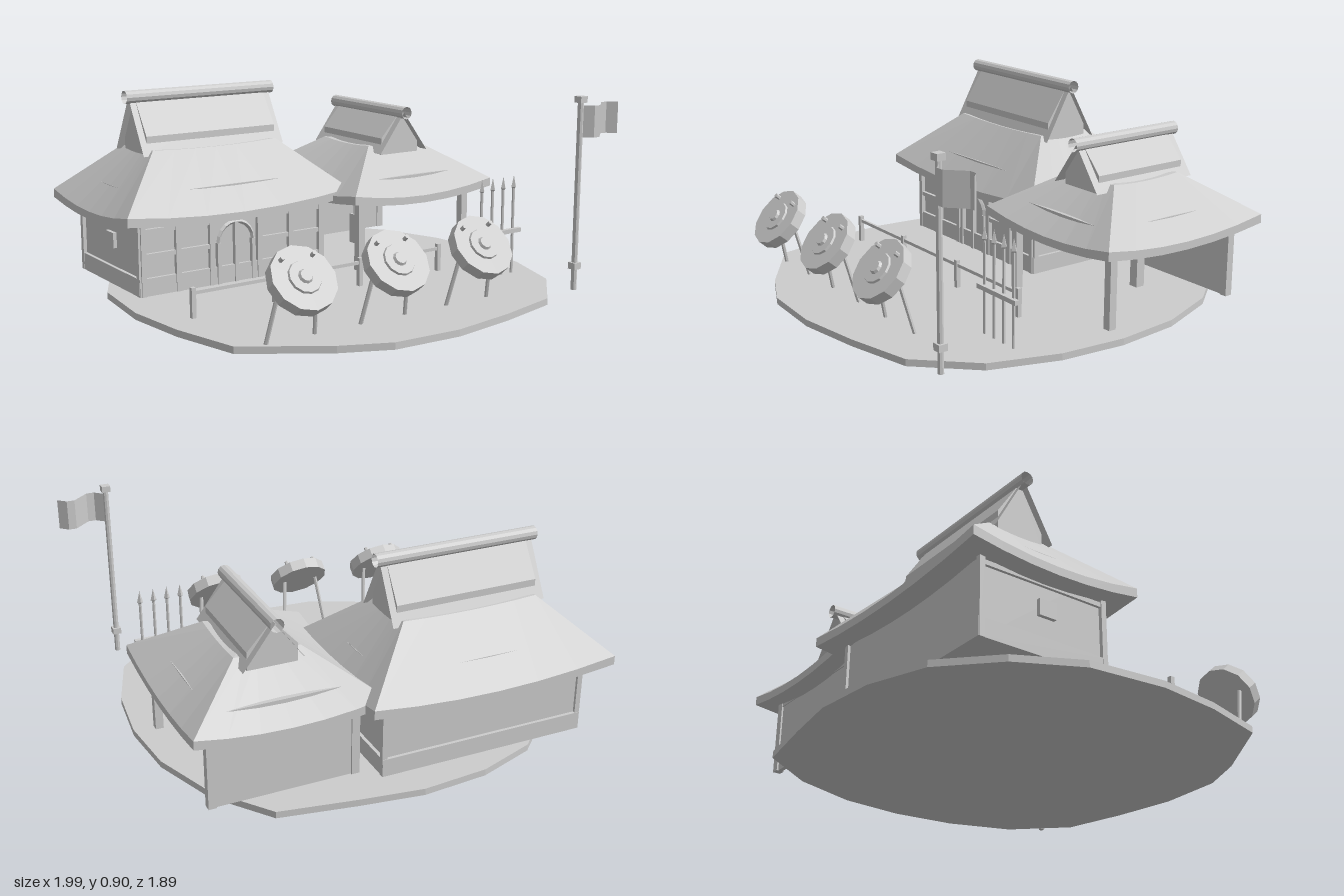
import * as THREE from 'three';

const stone = new THREE.MeshStandardMaterial({ color: 0xcccccc, flatShading: true });
stone.name = 'pale grey';
const sheet = stone.clone();
sheet.name = 'pale grey sheet';
sheet.side = THREE.DoubleSide;

function add(parent, name, geo, x = 0, y = 0, z = 0, mat = stone) {
  const m = new THREE.Mesh(geo, mat);
  m.name = name;
  m.position.set(x, y, z);
  parent.add(m);
  return m;
}

// Box given by its lower and upper corners
function box(parent, name, x0, x1, y0, y1, z0, z1) {
  return add(parent, name, new THREE.BoxGeometry(x1 - x0, y1 - y0, z1 - z0),
    (x0 + x1) / 2, (y0 + y1) / 2, (z0 + z1) / 2);
}

// Round bar between two points
function bar(parent, name, a, b, r, sides = 6, open = false) {
  const p = new THREE.Vector3(...a), q = new THREE.Vector3(...b), d = q.clone().sub(p);
  const m = add(parent, name, new THREE.CylinderGeometry(r, r, d.length(), sides, 1, open));
  m.position.copy(p).add(q).multiplyScalar(0.5);
  m.quaternion.setFromUnitVectors(new THREE.Vector3(0, 1, 0), d.normalize());
  return m;
}

// Rectangular ring whose sides dip by sag between the corners
function ring(hx, hz, y, sag) {
  const n = 6, pts = [], c = [[hx, hz], [hx, -hz], [-hx, -hz], [-hx, hz]];
  for (let s = 0; s < 4; s++) {
    const a = c[s], b = c[(s + 1) % 4];
    for (let i = 0; i < n; i++) {
      const t = i / n;
      pts.push([a[0] + (b[0] - a[0]) * t, y - sag * 4 * t * (1 - t), a[1] + (b[1] - a[1]) * t]);
    }
  }
  return pts;
}

function loft(rings) {
  const pos = [], n = rings[0].length;
  for (let r = 0; r + 1 < rings.length; r++) {
    for (let i = 0; i < n; i++) {
      const j = (i + 1) % n;
      const a = rings[r][i], b = rings[r][j], c = rings[r + 1][j], d = rings[r + 1][i];
      pos.push(...a, ...b, ...c, ...a, ...c, ...d);
    }
  }
  const g = new THREE.BufferGeometry();
  g.setAttribute('position', new THREE.Float32BufferAttribute(pos, 3));
  g.computeVertexNormals();
  return g;
}

// Hipped skirt with a small gable and a round ridge on top; the ridge runs along local x
function hipGableRoof(name, o) {
  const g = new THREE.Group();
  g.name = name;
  add(g, 'roofSkirt', loft([
    ring(0, 0, 0.345, 0), ring(o.hx, o.hz, 0.37, 0.035), ring(o.hx, o.hz, 0.41, 0.04),
    ring(o.topX, o.topZ, o.topY, 0.01), ring(0, 0, o.topY - 0.01, 0),
  ]));
  const body = new THREE.Shape([
    [-0.11, o.topY - 0.04], [0.11, o.topY - 0.04], [0.11, o.shoulder], [0, o.apex], [-0.11, o.shoulder],
  ].map(p => new THREE.Vector2(...p)));
  const bg = new THREE.ExtrudeGeometry(body, { depth: o.bodyX * 2, bevelEnabled: false });
  bg.translate(0, 0, -o.bodyX).rotateY(Math.PI / 2);
  add(g, 'gableBody', bg);
  for (const s of [1, -1]) {
    const d = new THREE.Vector2(0.14, o.apex - o.panelY);
    const panel = add(g, 'gablePanel', new THREE.PlaneGeometry(o.panelX * 2, d.length()),
      0, (o.apex + o.panelY) / 2, s * 0.07, sheet);
    panel.rotation.x = -s * Math.atan2(d.x, d.y);
    if (s < 0) panel.rotation.x += Math.PI;
  }
  bar(g, 'ridge', [-o.ridgeX, o.apex, 0], [o.ridgeX, o.apex, 0], 0.03, 12, true).material = sheet;
  return g;
}

function hall() {
  const g = new THREE.Group();
  g.name = 'mainHall';
  const roof = hipGableRoof('hallRoof', {
    hx: 0.575, hz: 0.395, topX: 0.32, topZ: 0.14, topY: 0.64, shoulder: 0.70, apex: 0.868,
    bodyX: 0.335, panelX: 0.365, panelY: 0.615, ridgeX: 0.385,
  });
  roof.position.set(-0.395, 0, -0.495);
  g.add(roof);
  box(g, 'hallWalls', -0.865, 0.075, 0.03, 0.48, -0.785, -0.2);
  box(g, 'hallPlinth', -0.88, 0.09, 0.03, 0.11, -0.8, -0.185);
  // Front timber frame
  for (const x of [-0.86, -0.69, -0.52, -0.27, -0.1, 0.07])
    box(g, 'wallPost', x - 0.012, x + 0.012, 0.03, 0.38, -0.2, -0.18);
  for (const y of [0.21, 0.32]) {
    box(g, 'leftRail', -0.86, -0.52, y - 0.01, y + 0.01, -0.2, -0.184);
    box(g, 'rightRail', -0.27, 0.07, y - 0.01, y + 0.01, -0.2, -0.184);
  }
  // Arched door
  add(g, 'doorArch', new THREE.TorusGeometry(0.09, 0.01, 4, 10, Math.PI), -0.395, 0.22, -0.19);
  for (const x of [-0.485, -0.395, -0.305])
    box(g, 'doorJamb', x - 0.009, x + 0.009, 0.03, x === -0.395 ? 0.31 : 0.22, -0.2, -0.178);
  // Side and back trim
  for (const x of [-0.87, 0.08]) {
    for (const z of [-0.785, -0.2]) box(g, 'cornerPost', x - 0.012, x + 0.012, 0.03, 0.4, z - 0.012, z + 0.012);
    box(g, 'sideRail', x - 0.008, x + 0.008, 0.33, 0.35, -0.78, -0.2);
    box(g, 'sideOrnament', x - 0.012, x + 0.012, 0.2, 0.27, -0.52, -0.44);
  }
  return g;
}

function pavilion() {
  const g = new THREE.Group();
  g.name = 'pavilion';
  const roof = hipGableRoof('pavilionRoof', {
    hx: 0.445, hz: 0.41, topX: 0.185, topZ: 0.145, topY: 0.585, shoulder: 0.625, apex: 0.745,
    bodyX: 0.24, panelX: 0.275, panelY: 0.555, ridgeX: 0.295,
  });
  roof.rotation.y = Math.PI / 2;
  roof.position.set(0.493, 0, -0.365);
  g.add(roof);
  box(g, 'roofFrame', 0.19, 0.8, 0.345, 0.455, -0.725, -0.01);
  for (const x of [0.18, 0.81]) for (const z of [-0.02, -0.71])
    box(g, 'pavilionPost', x - 0.018, x + 0.018, 0.03, 0.4, z - 0.018, z + 0.018);
  box(g, 'backWall', 0.18, 0.81, 0.03, 0.39, -0.72, -0.7);
  // Small stand with upright sticks
  box(g, 'stand', 0.465, 0.51, 0.03, 0.18, -0.495, -0.45);
  for (const x of [0.475, 0.5]) bar(g, 'standStick', [x, 0.18, -0.47], [x, 0.26, -0.47], 0.004);
  return g;
}

function drum(x) {
  const g = new THREE.Group();
  g.name = 'tiltedDrum';
  g.position.x = x;
  const disc = new THREE.Group();
  disc.name = 'drumDisc';
  disc.position.set(0, 0.284, 0.738);
  disc.rotation.x = Math.atan2(0.75, 0.66);
  add(disc, 'drumShell', new THREE.CylinderGeometry(0.142, 0.142, 0.052, 12));
  add(disc, 'drumRing', new THREE.CylinderGeometry(0.068, 0.072, 0.01, 12), 0, 0.03, 0);
  add(disc, 'drumBoss', new THREE.CylinderGeometry(0.025, 0.032, 0.012, 10), 0, 0.04, 0);
  for (const s of [-1, 1]) {
    add(disc, 'drumPeg', new THREE.CylinderGeometry(0.01, 0.01, 0.025, 6), s * 0.072, 0.038, -0.085);
    bar(g, 'drumLeg', [s * 0.085, 0.27, 0.715], [s * 0.115, 0.02, 0.655], 0.009);
  }
  g.add(disc);
  return g;
}

export function createModel() {
  const model = new THREE.Group();
  model.name = 'courtyard';

  // Ground slab with an uneven oval outline (x, z)
  const outline = [
    [0.92, 0], [0.89, 0.3], [0.79, 0.6], [0.57, 0.83], [0.27, 0.9], [-0.03, 0.945], [-0.34, 0.925],
    [-0.55, 0.83], [-0.88, 0.61], [-0.96, 0.3], [-0.995, 0], [-0.96, -0.35], [-0.82, -0.62],
    [-0.6, -0.83], [-0.33, -0.925], [-0.03, -0.95], [0.25, -0.91], [0.59, -0.85], [0.78, -0.6], [0.89, -0.3],
  ];
  const slab = new THREE.ExtrudeGeometry(new THREE.Shape(outline.map(p => new THREE.Vector2(p[0], -p[1]))),
    { depth: 0.03, bevelEnabled: false });
  add(model, 'ground', slab.rotateX(-Math.PI / 2));

  model.add(hall(), pavilion());
  for (const x of [-0.65, -0.197, 0.255]) model.add(drum(x));

  // Low fence
  for (const x of [-0.83, -0.43, 0.02, 0.475]) box(model, 'fencePost', x - 0.01, x + 0.01, 0.03, 0.16, 0.19, 0.21);
  box(model, 'fenceRail', -0.83, 0.475, 0.13, 0.145, 0.194, 0.206);

  // Spear rack
  box(model, 'rackRail', 0.51, 0.77, 0.225, 0.245, 0.425, 0.445);
  for (const x of [0.54, 0.605, 0.67, 0.735]) {
    bar(model, 'spearShaft', [x, 0.03, 0.425], [x, 0.45, 0.425], 0.007);
    add(model, 'spearTip', new THREE.LatheGeometry([[0, -0.03], [0.014, -0.015], [0, 0.04]]
      .map(p => new THREE.Vector2(...p)), 4), x, 0.455, 0.425);
  }

  // Flagpole with waving flag
  bar(model, 'flagpole', [0.765, 0.03, 0.795], [0.765, 0.88, 0.795], 0.013, 8);
  box(model, 'poleCap', 0.745, 0.785, 0.868, 0.896, 0.775, 0.815);
  box(model, 'poleClamp', 0.745, 0.785, 0.125, 0.155, 0.775, 0.815);
  const cloth = new THREE.PlaneGeometry(0.22, 0.14, 6, 1), p = cloth.attributes.position;
  for (let i = 0; i < p.count; i++) p.setZ(i, 0.04 * Math.sin((p.getX(i) + 0.11) / 0.22 * Math.PI * 2));
  cloth.computeVertexNormals();
  add(model, 'flag', cloth, 0.885, 0.785, 0.8, sheet);

  return model;
}
